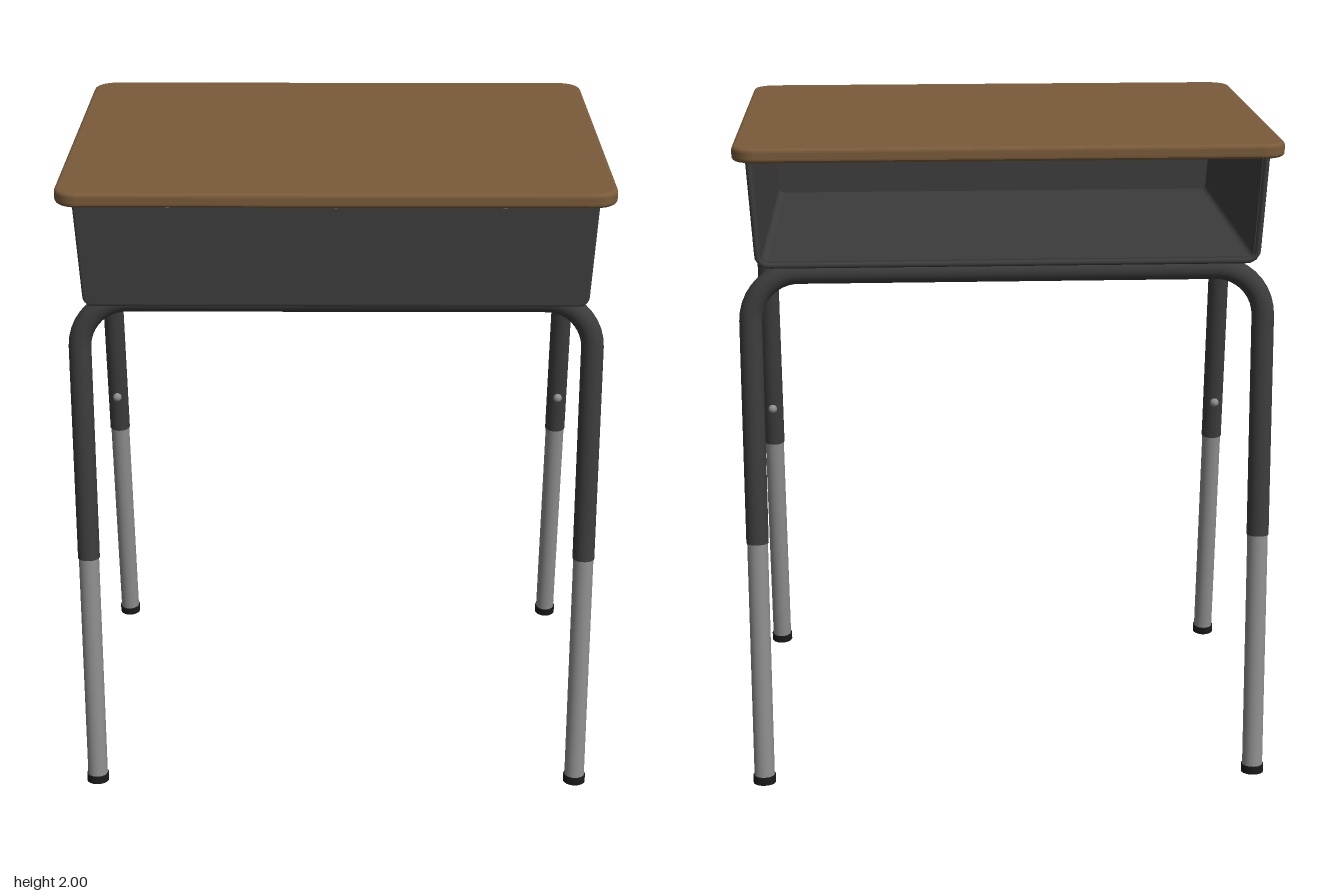
import * as THREE from 'three';

const mat = (name, color, side = THREE.FrontSide) => {
  const m = new THREE.MeshStandardMaterial({ color, side });
  m.name = name;
  return m;
};

export function createModel() {
  const wood = mat('brown wood', 0x7a5b3a);
  const steel = mat('dark painted steel', 0x3c3c3c);
  const chrome = mat('grey metal', 0x8e8e8e);
  const rubber = mat('black rubber', 0x1a1a1a);

  const desk = new THREE.Group();
  desk.name = 'schoolDesk';
  const V = (x, y, z) => new THREE.Vector3(x, y, z);

  const add = (name, geometry, material, x = 0, y = 0, z = 0, parent = desk) => {
    const mesh = new THREE.Mesh(geometry, material);
    mesh.name = name;
    mesh.position.set(x, y, z);
    parent.add(mesh);
    return mesh;
  };
  const box = (name, w, h, d, material, x, y, z) =>
    add(name, new THREE.BoxGeometry(w, h, d), material, x, y, z);

  // Round bar running between two points
  const rod = (name, a, b, radius, material, parent) => {
    const dir = b.clone().sub(a);
    const mesh = add(name, new THREE.CylinderGeometry(radius, radius, dir.length(), 24), material, 0, 0, 0, parent);
    mesh.position.copy(a).add(b).multiplyScalar(0.5);
    mesh.quaternion.setFromUnitVectors(V(0, 1, 0), dir.normalize());
  };

  // Wooden top: rounded rectangle with softened edges
  const bevel = 0.012, hw = 0.8 - bevel, hd = 0.603 - bevel, r = 0.058;
  const outline = new THREE.Shape();
  outline.absarc(hw - r, hd - r, r, 0, Math.PI / 2);
  outline.absarc(-hw + r, hd - r, r, Math.PI / 2, Math.PI);
  outline.absarc(-hw + r, -hd + r, r, Math.PI, Math.PI * 1.5);
  outline.absarc(hw - r, -hd + r, r, Math.PI * 1.5, Math.PI * 2);
  const topGeo = new THREE.ExtrudeGeometry(outline, {
    depth: 0.043 - 2 * bevel, bevelEnabled: true, bevelThickness: bevel,
    bevelSize: bevel, bevelSegments: 4, curveSegments: 10,
  });
  topGeo.rotateX(-Math.PI / 2);
  add('deskTop', topGeo, wood, 0, 1.957 + bevel, 0.01);

  // Book tray: tapered U section, closed at the front and open at the back
  const trayTop = 1.957, trayBottom = 1.638, zBack = -0.5, zFront = 0.535, wall = 0.012;
  const uPoints = (inset) => {
    const t = 0.755 - inset, b = 0.738 - inset, y = trayBottom + inset, c = 0.03 - inset;
    const pts = [V(-t, trayTop, 0)];
    for (let i = 0; i <= 5; i++) {
      const a = Math.PI + (i / 5) * Math.PI / 2;
      pts.push(V(-b + c + Math.cos(a) * c, y + c + Math.sin(a) * c, 0));
    }
    return pts.concat(pts.map((p) => V(-p.x, p.y, 0)).reverse());
  };
  const outer = uPoints(0);
  const shell = new THREE.Shape(outer.concat(uPoints(wall).reverse()));
  add('trayShell', new THREE.ExtrudeGeometry(shell, { depth: zFront - zBack - 0.01, bevelEnabled: false }),
    steel, 0, 0, zBack);
  add('trayFront', new THREE.ExtrudeGeometry(new THREE.Shape(uPoints(0.008)), {
    depth: 0.006, bevelEnabled: true, bevelThickness: 0.008, bevelSize: 0.008, bevelSegments: 3,
  }), steel, 0, -0.006, zFront - 0.014);

  // Folded rim around the open back
  const rim = new THREE.CurvePath();
  for (let i = 1; i < outer.length; i++) rim.add(new THREE.LineCurve3(outer[i - 1], outer[i]));
  add('trayRim', new THREE.TubeGeometry(rim, 140, 0.009, 8), steel, 0, 0, zBack);

  // Flanges and screws that fasten the tray under the top
  for (const s of [-1, 1]) {
    box('sideFlange', 0.03, 0.008, 1.0, steel, s * 0.765, 1.953, 0.02);
    for (const z of [-0.42, -0.14, 0.15, 0.43])
      add('flangeScrew', new THREE.CylinderGeometry(0.008, 0.008, 0.006, 12), chrome, s * 0.769, 1.947, z);
  }
  box('frontFlange', 1.46, 0.008, 0.04, steel, 0, 1.953, 0.55);
  for (const x of [-0.48, 0, 0.48])
    add('flangeScrew', new THREE.CylinderGeometry(0.008, 0.008, 0.006, 12), chrome, x, 1.947, 0.56);

  // Rails beneath the tray, joining the two leg frames
  for (const s of [-1, 1]) {
    box('supportRail', 0.04, 0.072, 0.8, steel, s * 0.525, 1.601, -0.02);
    box('railFlange', 0.07, 0.01, 0.8, steel, s * 0.475, 1.633, -0.02);
    for (const z of [-0.27, -0.02, 0.23])
      add('railScrew', new THREE.CylinderGeometry(0.009, 0.009, 0.008, 12), chrome, s * 0.465, 1.625, z);
  }

  // Two splayed leg frames, each bent from a single tube
  const legX = 0.767, barY = 1.604, bend = 0.145, k = 0.55 * bend, tubeR = 0.034;
  const makeFrame = (name, zTop, zFoot) => {
    const frame = new THREE.Group();
    frame.name = name;
    desk.add(frame);
    const at = (x, y) => V(x, y, zFoot + (zTop - zFoot) * y / barY);
    const corner = (s) => [
      at(s * legX, barY - bend), at(s * legX, barY - bend + k),
      at(s * (legX - bend + k), barY), at(s * (legX - bend), barY),
    ];
    const left = corner(-1), right = corner(1).reverse();
    const path = new THREE.CurvePath();
    path.add(new THREE.LineCurve3(at(-legX, 0.78), left[0]));
    path.add(new THREE.CubicBezierCurve3(...left));
    path.add(new THREE.LineCurve3(left[3], right[0]));
    path.add(new THREE.CubicBezierCurve3(...right));
    path.add(new THREE.LineCurve3(right[3], at(legX, 0.78)));
    add('bentTube', new THREE.TubeGeometry(path, 130, tubeR, 20), steel, 0, 0, 0, frame);

    for (const s of [-1, 1]) {
      const x = s * legX;
      rod('tubeEnd', at(x, 0.778), at(x, 0.8), tubeR, steel, frame);
      rod('lowerLeg', at(x, 0.02), at(x, 0.9), 0.0315, chrome, frame);
      rod('footCap', at(x, 0.003), at(x, 0.028), 0.035, rubber, frame);
      // Height adjustment button on the inner face
      const p = at(x, 0.91);
      add('heightButton', new THREE.SphereGeometry(0.015, 14, 10), chrome,
        p.x, p.y, p.z - Math.sign(zTop) * 0.036, frame);
    }
  };
  makeFrame('frontLegFrame', 0.406, 0.537);
  makeFrame('backLegFrame', -0.447, -0.581);

  return desk;
}
